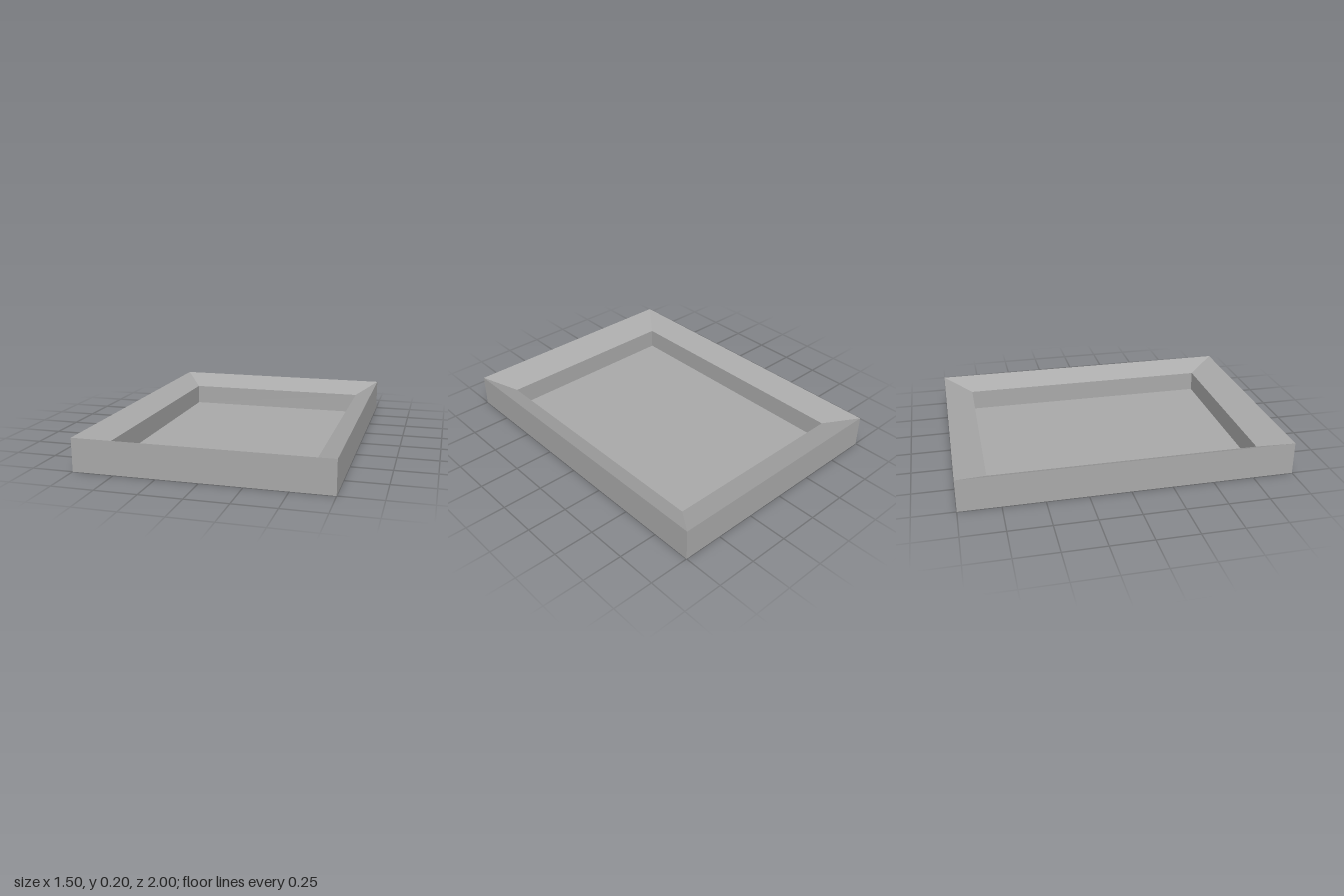
import * as THREE from 'three';

// Rectangular ring of four corners, counter-clockwise seen from above
const ring = (hx, y, hz) => [[-hx, y, hz], [hx, y, hz], [hx, y, -hz], [-hx, y, -hz]];

// Flat-shaded band of four quads joining two rings
function band(name, from, to, material) {
  const points = [];
  for (let i = 0; i < 4; i++) {
    const j = (i + 1) % 4;
    points.push(...from[i], ...from[j], ...to[j], ...from[i], ...to[j], ...to[i]);
  }
  const geometry = new THREE.BufferGeometry();
  geometry.setAttribute('position', new THREE.Float32BufferAttribute(points, 3));
  geometry.computeVertexNormals();
  const mesh = new THREE.Mesh(geometry, material);
  mesh.name = name;
  return mesh;
}

export function createModel() {
  const group = new THREE.Group();
  group.name = 'tray';
  const grey = new THREE.MeshStandardMaterial({ color: 0xaaaaaa, side: THREE.DoubleSide });
  grey.name = 'grey';

  const outerBase = ring(0.75, 0, 1);
  const outerRim = ring(0.75, 0.2, 1);
  const innerLip = ring(0.612, 0.13, 0.817);
  const innerBase = ring(0.612, 0, 0.817);

  // Outer walls, mitred sloping rim and upright inner walls
  group.add(band('outerWalls', outerBase, outerRim, grey));
  group.add(band('slopingRim', outerRim, innerLip, grey));
  group.add(band('innerWalls', innerLip, innerBase, grey));

  // Floor panel, seen from above and below
  const floor = new THREE.Mesh(new THREE.PlaneGeometry(1.5, 2).rotateX(-Math.PI / 2), grey);
  floor.name = 'floor';
  group.add(floor);

  return group;
}
